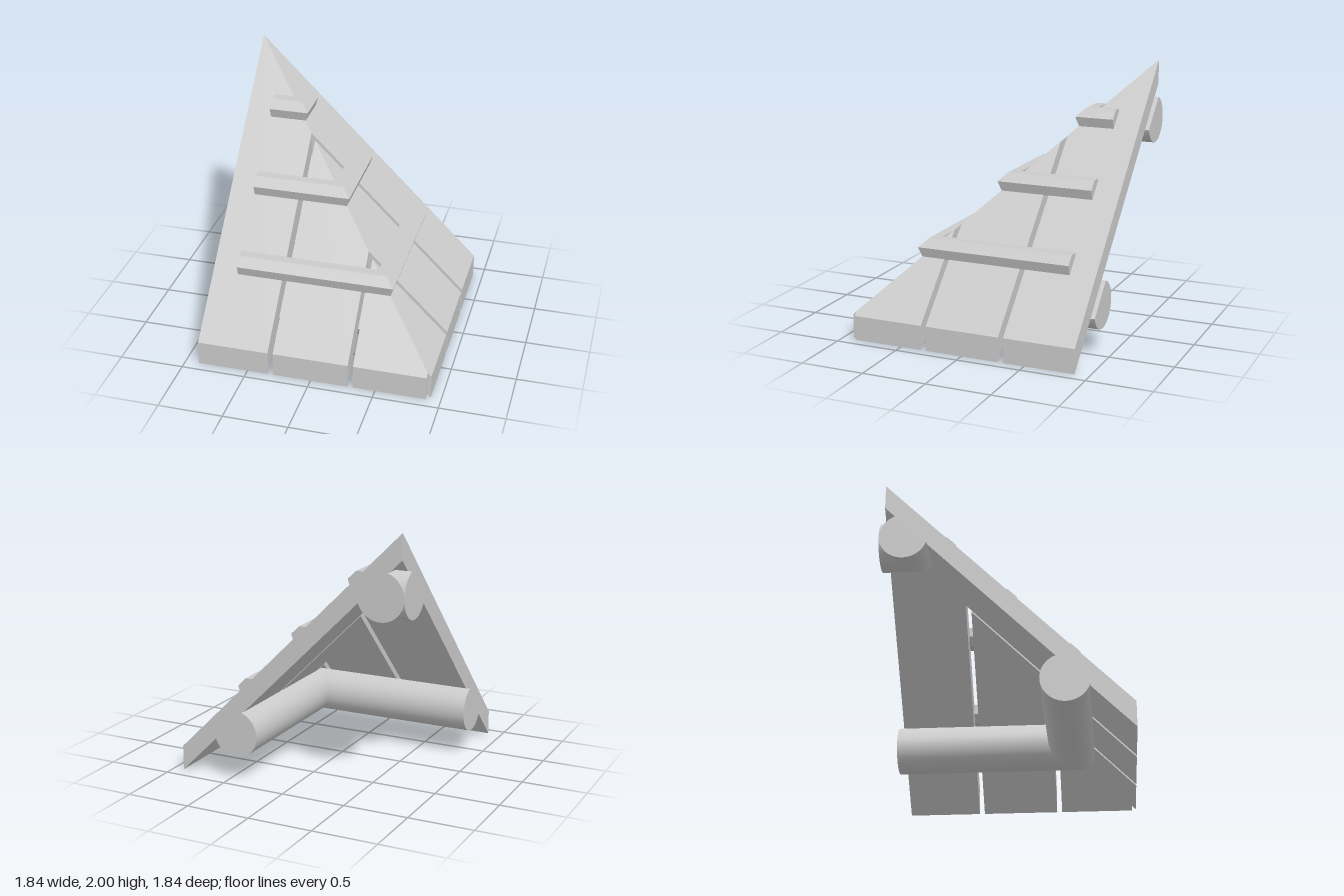
import * as THREE from 'three';
import { toCreasedNormals } from 'three/addons/utils/BufferGeometryUtils.js';

const RIDGE = 1.11;   // roof plane: height = RIDGE - outward distance
const THICK = 0.19;   // vertical thickness of the boards
const EAVE = 0.92;    // outward distance of the eave
const lerp = THREE.MathUtils.lerp;

const material = new THREE.MeshStandardMaterial({ color: 0xcccccc });

// Moves every vertex by rule(a, b, t) -> [outward, height, along], t from 0 to 1.
// The front slope swaps the axes and runs backwards, which keeps the winding.
function place(geometry, rule, front) {
  const p = geometry.attributes.position;
  for (let i = 0; i < p.count; i++) {
    const t = front ? 1 - p.getZ(i) : p.getZ(i);
    const [u, y, v] = rule(p.getX(i), p.getY(i), t);
    if (front) p.setXYZ(i, v, y, u);
    else p.setXYZ(i, u, y, v);
  }
  geometry.computeVertexNormals();
  return geometry;
}

// Sloping board whose inner end is cut along the hip
function board(from, to, front) {
  const box = new THREE.BoxGeometry(1, 1, 1).translate(0.5, 0.5, 0.5);
  return place(box, (s, h, t) => {
    const v = lerp(from, to, t);
    const u = lerp(v, EAVE, s);
    return [u, RIDGE - u - THICK * (1 - h), v];
  }, front);
}

// Bar of constant profile, square at one end and mitred at the hip
function bar(profile, start, shift, front) {
  const solid = new THREE.ExtrudeGeometry(new THREE.Shape(profile), { depth: 1, bevelEnabled: false });
  return place(solid, (a, b, t) => {
    const u = a - shift;
    return [u, b + shift, lerp(start, u, t)];
  }, front);
}

// Faceted batten profile, its hidden side sunk into the boards
const battenProfile = [
  [0.397, 0.735], [0.475, 0.735], [0.54, 0.67], [0.515, 0.59], [0.45, 0.6], [0.397, 0.66],
].map(([x, y]) => new THREE.Vector2(x, y));

// Round log with a flat lying against the underside of the boards
const logProfile = [];
const flatAngle = Math.acos(0.083 / 0.181);
for (let i = 0; i <= 24; i++) {
  const a = Math.PI / 4 + flatAngle + (i / 24) * (2 * Math.PI - 2 * flatAngle);
  logProfile.push(new THREE.Vector2(0.434 + 0.181 * Math.cos(a), 0.371 + 0.181 * Math.sin(a)));
}

export function createModel() {
  const model = new THREE.Group();
  model.name = 'roofCorner';

  for (const front of [true, false]) {
    const slope = new THREE.Group();
    slope.name = front ? 'frontSlope' : 'leftSlope';
    const add = (name, geometry) => {
      const mesh = new THREE.Mesh(geometry, material);
      mesh.name = name;
      slope.add(mesh);
    };

    // Three boards with narrow gaps
    for (const [from, to] of [[-0.89, -0.335], [-0.295, 0.29], [0.33, 0.89]]) {
      add('roofBoard', board(from, to, front));
    }
    // Three battens up the outside
    for (const shift of [0, 0.46, 0.92]) {
      add('batten', bar(battenProfile, -0.69, shift, front));
    }
    // Two supporting logs underneath
    for (const shift of [0, 1.175]) {
      add('supportLog', toCreasedNormals(bar(logProfile, -0.923, shift, front), 0.6));
    }
    model.add(slope);
  }
  return model;
}
